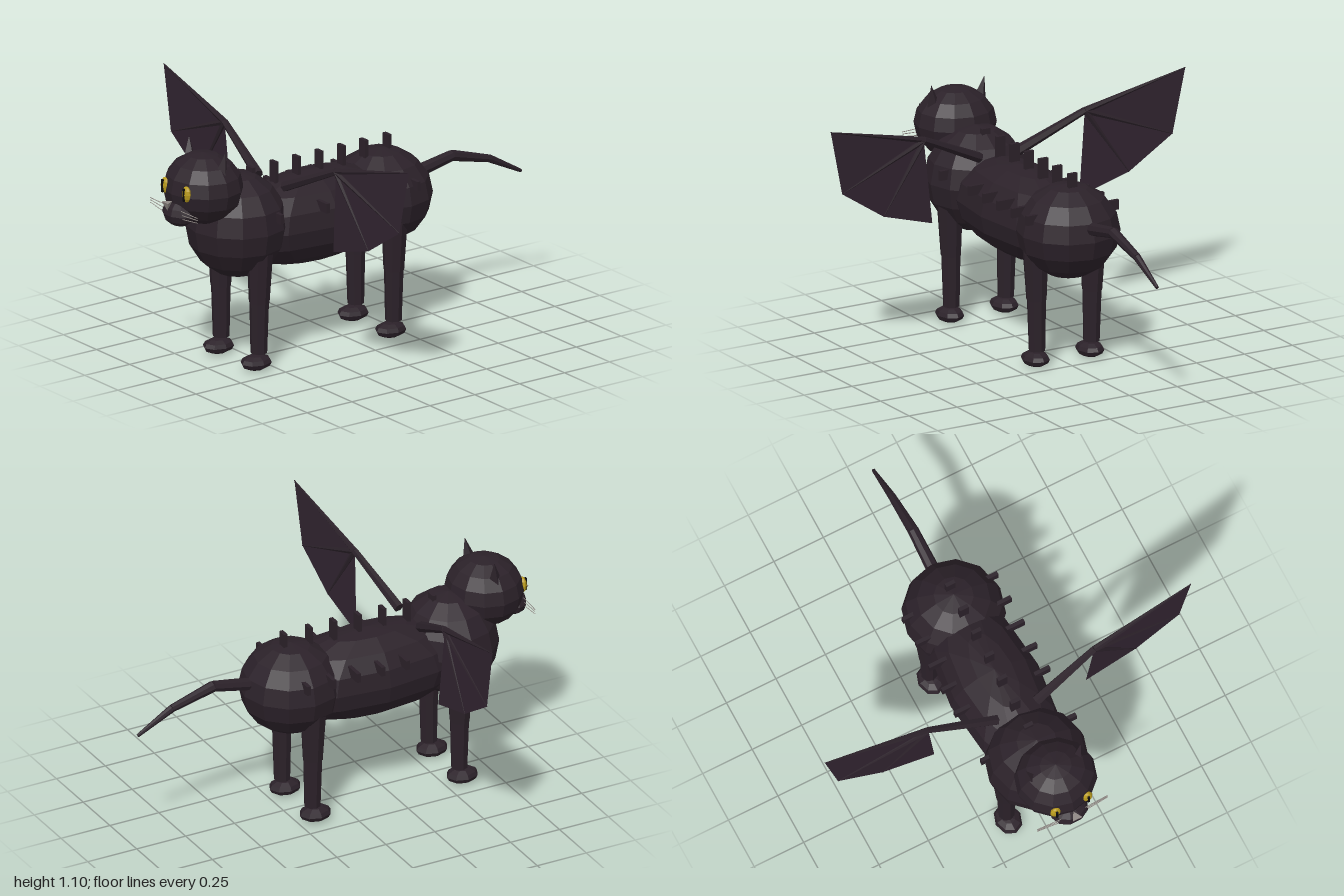
import * as THREE from 'three';

export function createModel() {
  const model = new THREE.Group();
  const mat = (name, color, extra = {}) => {
    const m = new THREE.MeshStandardMaterial({ color, flatShading: true, ...extra });
    m.name = name;
    return m;
  };
  const fur = mat('dark fur', 0x2b2129);
  const skin = mat('wing skin', 0x30232f, { side: THREE.DoubleSide });
  const gold = mat('eye gold', 0xb89a1c);
  const black = mat('pupil black', 0x0c0a0c);
  const grey = mat('nose grey', 0x8f8884);

  const add = (name, geo, material, pos = [0, 0, 0]) => {
    const mesh = new THREE.Mesh(geo, material);
    mesh.name = name;
    mesh.position.set(...pos);
    model.add(mesh);
    return mesh;
  };
  const ball = (name, pos, radii, material = fur, w = 12, h = 8) =>
    add(name, new THREE.SphereGeometry(1, w, h).scale(...radii), material, pos);
  const box = (name, pos, size, material = fur) =>
    add(name, new THREE.BoxGeometry(...size), material, pos);
  // Tapered rod from a (radius ra) to b (radius rb)
  const rod = (name, a, b, ra, rb, material = fur, sides = 6) => {
    const A = new THREE.Vector3(...a), B = new THREE.Vector3(...b);
    const d = B.clone().sub(A);
    const mesh = add(name, new THREE.CylinderGeometry(rb, ra, d.length(), sides), material,
      A.clone().add(B).multiplyScalar(0.5).toArray());
    mesh.quaternion.setFromUnitVectors(new THREE.Vector3(0, 1, 0), d.normalize());
    return mesh;
  };

  // Body and head
  ball('chest', [0, 0.66, 0.59], [0.238, 0.245, 0.228]);
  ball('torso', [0, 0.62, 0.18], [0.22, 0.212, 0.52]);
  ball('hips', [0, 0.635, -0.215], [0.235, 0.218, 0.235]);
  ball('head', [0, 0.87, 0.775], [0.19, 0.165, 0.178]);
  ball('muzzle', [0, 0.775, 0.91], [0.09, 0.06, 0.068], fur, 10, 6);

  // Nose, pointing down
  const nose = add('nose', new THREE.ConeGeometry(0.028, 0.04, 3), grey, [0, 0.818, 0.975]);
  nose.rotation.x = Math.PI;

  // Spine plates, and rib stubs on both flanks
  for (const z of [0.51, 0.38, 0.255, 0.13, 0.005, -0.12, -0.25]) {
    box('spinePlate', [0, 0.83, z], [0.045, 0.16, 0.018]);
    if (z !== 0.38) for (const s of [-1, 1]) box('rib', [s * 0.18, 0.725, z], [0.12, 0.045, 0.018]);
  }

  // Tail
  const tail = [[0, 0.69, -0.4], [0, 0.73, -0.61], [0, 0.672, -0.82], [0, 0.578, -0.995]];
  const tailRadii = [0.031, 0.026, 0.018, 0.008];
  for (let i = 0; i < 3; i++) rod('tail', tail[i], tail[i + 1], tailRadii[i], tailRadii[i + 1], fur, 8);

  for (const s of [-1, 1]) {
    // Ears, eyes and whiskers
    rod('ear', [s * 0.118, 0.955, 0.765], [s * 0.138, 1.065, 0.752], 0.036, 0.001, fur, 4);
    ball('eye', [s * 0.08, 0.887, 0.927], [0.026, 0.038, 0.018], gold, 8, 6);
    box('pupil', [s * 0.08, 0.887, 0.943], [0.01, 0.06, 0.008], black);
    for (const [y0, y1] of [[0.765, 0.78], [0.785, 0.792], [0.805, 0.802]])
      rod('whisker', [s * 0.04, y0, 0.945], [s * 0.178, y1, 0.938], 0.002, 0.002, grey, 4);

    // Legs and paws
    for (const z of [0.57, -0.18]) {
      rod('upperLeg', [s * 0.145, 0.32, z], [s * 0.15, 0.56, z], 0.047, 0.06, fur, 8);
      rod('lowerLeg', [s * 0.142, 0.08, z], [s * 0.145, 0.34, z], 0.038, 0.045, fur, 8);
      ball('paw', [s * 0.142, 0.038, z + 0.015], [0.062, 0.036, 0.077], fur, 8, 6);
    }

    // Wing bones
    const shoulder = [s * 0.1, 0.82, 0.395];
    const wrist = [s * 0.42, 0.97, 0.345];
    const tips = [[0.925, 1.098, 0.312], [0.862, 0.795, 0.318], [0.64, 0.65, 0.326], [0.383, 0.575, 0.332]]
      .map(([x, y, z]) => [s * x, y, z]);
    rod('wingArm', shoulder, wrist, 0.025, 0.016);
    tips.slice(0, 3).forEach((t) => rod('wingFinger', wrist, t, 0.015, 0.002));

    // Wing membrane fanned out from the wrist
    const points = [];
    for (let i = 0; i < 3; i++) points.push(...wrist, ...tips[i], ...tips[i + 1]);
    const fan = new THREE.BufferGeometry();
    fan.setAttribute('position', new THREE.Float32BufferAttribute(points, 3));
    fan.computeVertexNormals();
    add('wingMembrane', fan, skin);
  }
  return model;
}
